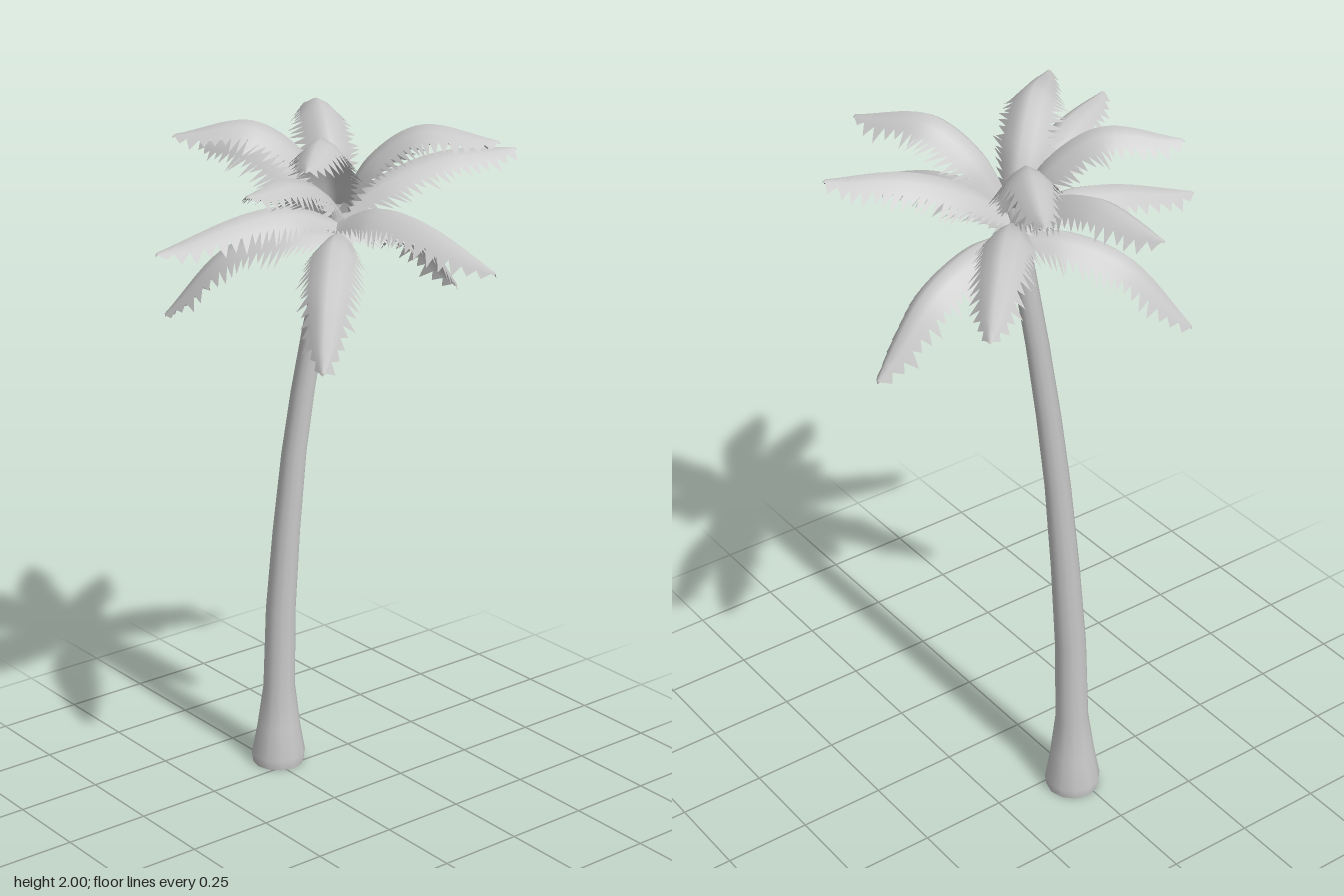
import * as THREE from 'three';

const grey = new THREE.MeshStandardMaterial({ color: 0xc8c8c8, side: THREE.DoubleSide });
grey.name = 'plain grey';

// Small seeded generator for the ragged leaflets
let seed = 7;
const rand = () => (seed = (seed * 16807) % 2147483647) / 2147483647;

// Linear lookup in a list of [position, value] pairs
function lookup(table, t) {
  for (let i = 1; i < table.length; i++) {
    const [a, va] = table[i - 1], [b, vb] = table[i];
    if (t <= b) return va + (vb - va) * Math.max(0, (t - a) / (b - a));
  }
  return table[table.length - 1][1];
}

const CROWN = new THREE.Vector2(-0.01, -0.02); // x, z
const HALF_WIDTH = [[0, 0.03], [0.15, 0.045], [0.35, 0.058], [0.7, 0.052], [0.9, 0.035], [1, 0.008]];
const LEAFLET = [[0, 0.015], [0.15, 0.035], [0.35, 0.05], [0.7, 0.042], [0.9, 0.03], [1, 0.018]];

// Arched blade along a spine, with a comb of pointed leaflets down both edges
function frondGeometry(tip, spine) {
  const reach = new THREE.Vector2(tip[0], tip[2]).sub(CROWN);
  const path = new THREE.CatmullRomCurve3(
    [...spine, [1, tip[1]]].map(([f, y]) =>
      new THREE.Vector3(CROWN.x + reach.x * f, y, CROWN.y + reach.y * f)));
  const side = new THREE.Vector3(-reach.y, 0, reach.x).normalize();
  const rows = 22, across = [-1, -0.55, 0, 0.55, 1];
  const positions = [], index = [];

  const place = (t, out, drop) => {
    const tangent = path.getTangent(t);
    const up = new THREE.Vector3().crossVectors(tangent, side).normalize();
    if (up.y < 0) up.negate();
    return path.getPoint(t).addScaledVector(side, out).addScaledVector(up, -drop);
  };
  const push = (p) => positions.push(p.x, p.y, p.z) / 3 - 1;

  // Blade: rounded roof cross-section
  for (let i = 0; i <= rows; i++) {
    const t = i / rows, w = lookup(HALF_WIDTH, t);
    for (const u of across) push(place(t, u * w, 0.75 * w * Math.pow(Math.abs(u), 1.6)));
  }
  const n = across.length;
  for (let i = 0; i < rows; i++) {
    for (let j = 0; j < n - 1; j++) {
      const a = i * n + j, b = a + 1, c = a + n, d = c + 1;
      index.push(a, b, c, b, d, c);
    }
  }

  // Leaflets: one swept triangle per edge segment
  for (const s of [-1, 1]) {
    const edge = s < 0 ? 0 : n - 1;
    for (let i = 0; i < rows; i++) {
      const t = (i + 0.5) / rows, w = lookup(HALF_WIDTH, t);
      const len = lookup(LEAFLET, t) * (0.6 + 0.7 * rand());
      const point = place(t, s * (w + len * 0.68), 0.75 * w + len * 0.75)
        .addScaledVector(path.getTangent(t), len * (0.3 + 0.3 * rand()));
      const a = i * n + edge, b = a + n, k = push(point);
      if (s < 0) index.push(a, b, k); else index.push(a, k, b);
    }
  }

  // Pointed end
  const end = push(place(1, 0, 0.008).addScaledVector(path.getTangent(1), 0.008));
  for (let j = 0; j < n - 1; j++) index.push(rows * n + j, rows * n + j + 1, end);

  const g = new THREE.BufferGeometry();
  g.setAttribute('position', new THREE.Float32BufferAttribute(positions, 3));
  g.setIndex(index);
  g.computeVertexNormals();
  return g;
}

// Flared, open-ended trunk: a lathe bent sideways along a curve
function trunkGeometry() {
  const radius = [[0, 0.076], [0.03, 0.08], [0.12, 0.064], [0.25, 0.047], [0.5, 0.044],
    [0.75, 0.04], [1, 0.036], [1.2, 0.034], [1.4, 0.032], [1.6, 0.031], [1.77, 0.022]];
  const lean = new THREE.SplineCurve([[-0.3, 0], [-0.293, 0.25], [-0.282, 0.5], [-0.253, 0.75],
    [-0.215, 1], [-0.172, 1.2], [-0.12, 1.4], [-0.058, 1.6], [-0.01, 1.77]]
    .map(([x, y]) => new THREE.Vector2(x, y)));
  const bend = lean.getPoints(120).map((p) => [p.y, p.x]);
  const g = new THREE.LatheGeometry(radius.map(([y, r]) => new THREE.Vector2(r, y)), 12);
  const p = g.attributes.position;
  for (let i = 0; i < p.count; i++) {
    p.setX(i, p.getX(i) + lookup(bend, p.getY(i)));
    p.setZ(i, p.getZ(i) - 0.023);
  }
  return g;
}

// Four tiers: spine as [fraction of reach, height], then the frond tips
const TIERS = [
  { name: 'topFrond', spine: [[0, 1.76], [0.2, 1.905], [0.52, 1.995]],
    tips: [[0.34, 1.965, -0.275], [-0.41, 1.95, -0.22], [-0.265, 1.96, 0.33], [0.265, 1.96, 0.30]] },
  { name: 'upperFrond', spine: [[0, 1.75], [0.25, 1.84], [0.58, 1.895]],
    tips: [[-0.51, 1.86, 0.07], [0.18, 1.895, 0.42], [0.195, 1.895, -0.465]] },
  { name: 'middleFrond', spine: [[0, 1.72], [0.25, 1.775], [0.52, 1.77]],
    tips: [[0.505, 1.675, -0.12], [-0.12, 1.695, 0.495], [-0.41, 1.685, -0.385]] },
  { name: 'lowerFrond', spine: [[0, 1.69], [0.3, 1.7], [0.65, 1.635]],
    tips: [[-0.08, 1.445, -0.505], [0.335, 1.445, 0.305], [-0.345, 1.445, 0.32]] },
];

export function createModel() {
  seed = 7;
  const model = new THREE.Group();
  model.name = 'palmTree';

  const trunk = new THREE.Mesh(trunkGeometry(), grey);
  trunk.name = 'trunk';
  model.add(trunk);

  const crown = new THREE.Group();
  crown.name = 'crown';
  for (const { name, spine, tips } of TIERS) {
    tips.forEach((tip, i) => {
      const frond = new THREE.Mesh(frondGeometry(tip, spine), grey);
      frond.name = name + (i + 1);
      crown.add(frond);
    });
  }
  model.add(crown);
  return model;
}
